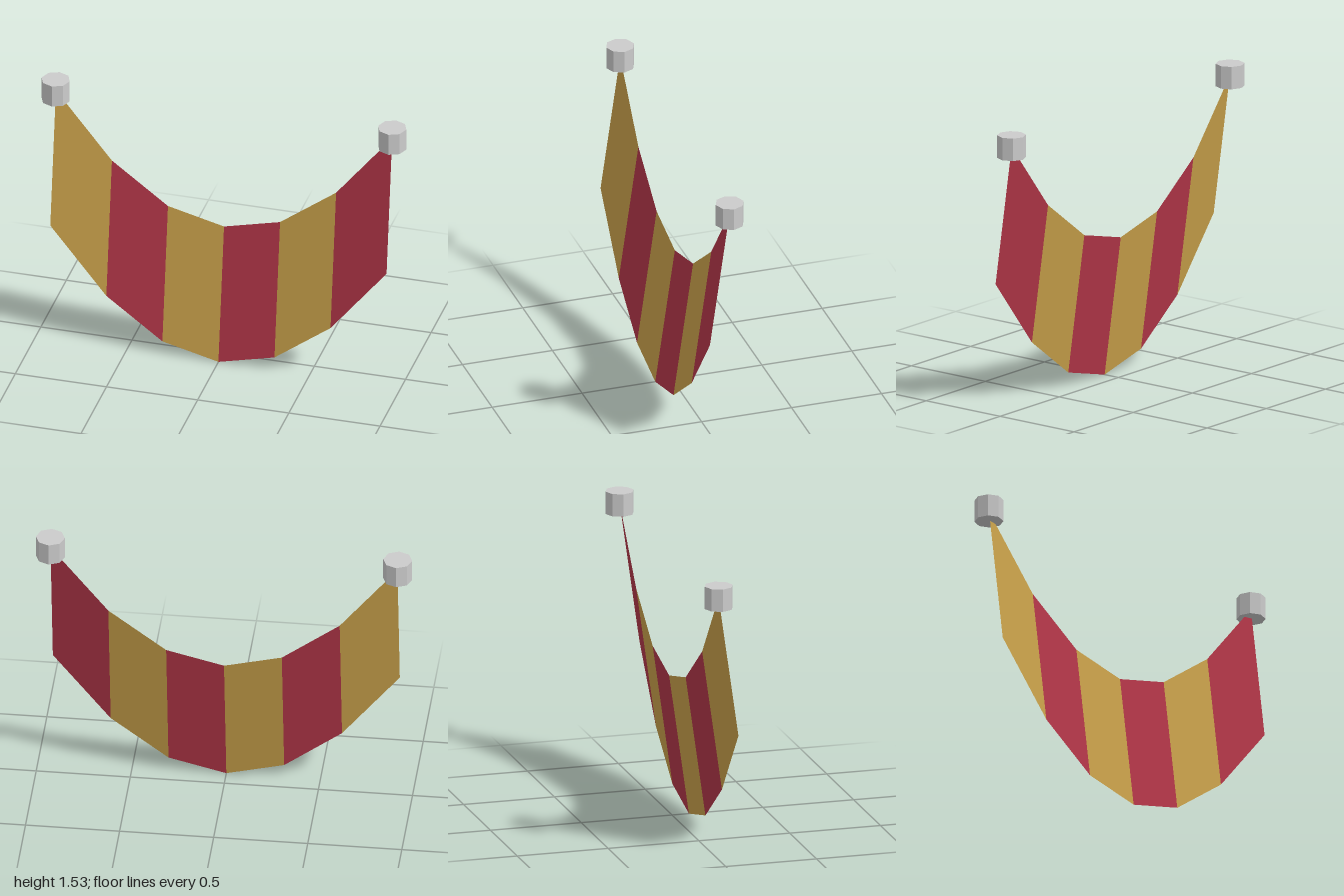
import * as THREE from 'three';

const HALF = 0.922, PANELS = 6, DROP = 0.77, SAG = 0.69;
const Z_TOP = -0.016, Z_BOTTOM = 0.093;

// Height of the sagging lower edge at x
const sag = (x) => SAG * (x / HALF) ** 2;

// One flat cloth stripe between two x positions
function stripe(x0, x1, material) {
  const g = new THREE.BufferGeometry();
  g.setAttribute('position', new THREE.Float32BufferAttribute([
    x0, sag(x0), Z_BOTTOM,
    x1, sag(x1), Z_BOTTOM,
    x1, sag(x1) + DROP, Z_TOP,
    x0, sag(x0) + DROP, Z_TOP,
  ], 3));
  g.setIndex([0, 1, 2, 0, 2, 3]);
  g.computeVertexNormals();
  return new THREE.Mesh(g, material);
}

export function createModel() {
  const group = new THREE.Group();
  group.name = 'buntingSwag';

  const cloth = (color) => new THREE.MeshStandardMaterial({
    color, flatShading: true, side: THREE.DoubleSide,
  });
  const gold = cloth(0xc8a04a), red = cloth(0xb23648);
  const grey = new THREE.MeshStandardMaterial({ color: 0xcccccc, flatShading: true });

  // Draped cloth in alternating stripes
  const drape = new THREE.Group();
  drape.name = 'drape';
  const step = (2 * HALF) / PANELS;
  for (let i = 0; i < PANELS; i++) {
    const x0 = -HALF + i * step;
    const panel = stripe(x0, x0 + step, i % 2 ? red : gold);
    panel.name = i % 2 ? 'redStripe' : 'goldStripe';
    drape.add(panel);
  }
  group.add(drape);

  // Eight-sided knobs holding the upper corners
  const knobGeometry = new THREE.CylinderGeometry(0.077, 0.077, 0.123, 8);
  for (const side of [-1, 1]) {
    const knob = new THREE.Mesh(knobGeometry, grey);
    knob.name = side < 0 ? 'rightKnob' : 'leftKnob';
    knob.position.set(side * 0.923, 1.465, Z_TOP);
    group.add(knob);
  }
  return group;
}
